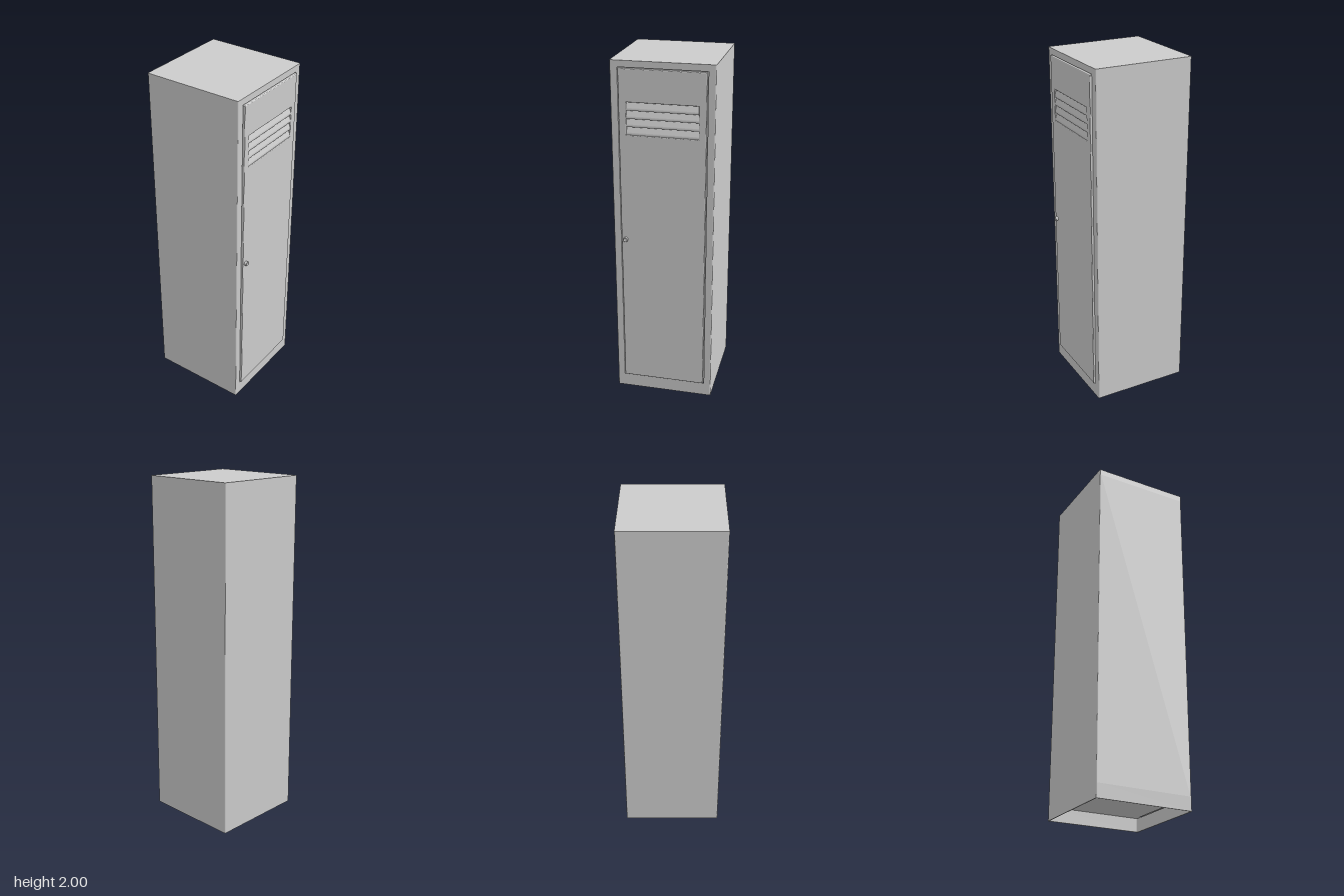
import * as THREE from 'three';

const HALF = 0.285, BACK = -0.3, FRONT = 0.273;
const DOOR_BOTTOM = 0.083, DOOR_TOP = 1.96, DOOR_HALF = 0.239;

// Plan outline with rounded corners (shape y is -z); notch cuts a pocket for the door
function plan(notch, inset = 0) {
  const r = 0.007, w = HALF - inset, f = -FRONT + inset, b = -BACK - inset;
  const s = new THREE.Shape();
  s.moveTo(-w + r, f);
  if (notch) {
    s.lineTo(-notch, f);
    s.lineTo(-notch, f + 0.012);
    s.lineTo(notch, f + 0.012);
    s.lineTo(notch, f);
  }
  s.lineTo(w - r, f);
  s.quadraticCurveTo(w, f, w, f + r);
  s.lineTo(w, b - r);
  s.quadraticCurveTo(w, b, w - r, b);
  s.lineTo(-w + r, b);
  s.quadraticCurveTo(-w, b, -w, b - r);
  s.lineTo(-w, f + r);
  s.quadraticCurveTo(-w, f, -w + r, f);
  return s;
}

function rectangle(target, x0, y0, x1, y1) {
  target.moveTo(x0, y0);
  target.lineTo(x1, y0);
  target.lineTo(x1, y1);
  target.lineTo(x0, y1);
  target.closePath();
  return target;
}

export function createModel() {
  const group = new THREE.Group();
  const material = new THREE.MeshStandardMaterial({ color: 0xcccccc });
  const add = (name, geometry, parent = group) => {
    const mesh = new THREE.Mesh(geometry, material);
    mesh.name = name;
    parent.add(mesh);
    return mesh;
  };
  const storey = (shape, y0, y1) =>
    new THREE.ExtrudeGeometry(shape, { depth: y1 - y0, bevelEnabled: false, curveSegments: 4 })
      .rotateX(-Math.PI / 2).translate(0, y0, 0);

  // Cabinet: hollow plinth, body with door pocket, solid top
  const skirt = plan(0);
  skirt.holes.push(plan(0, 0.005));
  add('plinth', storey(skirt, 0, DOOR_BOTTOM - 0.004));
  add('body', storey(plan(DOOR_HALF + 0.005), DOOR_BOTTOM - 0.004, DOOR_TOP + 0.004));
  add('top', storey(plan(0), DOOR_TOP + 0.004, 2));

  const door = new THREE.Group();
  door.name = 'door';
  group.add(door);

  // Door panel with a softened edge and a window for the vents
  const ventHalf = 0.197, ventBottom = 1.6, ventTop = 1.78, bevel = 0.004;
  const panel = rectangle(new THREE.Shape(), -DOOR_HALF, DOOR_BOTTOM, DOOR_HALF, DOOR_TOP);
  panel.holes.push(rectangle(new THREE.Path(), -ventHalf, ventBottom, ventHalf, ventTop));
  add('doorPanel', new THREE.ExtrudeGeometry(panel, {
    depth: 0.013, bevelThickness: bevel, bevelSize: bevel, bevelOffset: -bevel, bevelSegments: 3,
  }).translate(0, 0, 0.266), door);

  // Sloping vent slats, each leaning back to a step beneath the one above
  const count = 4, pitch = (ventTop - ventBottom) / count;
  const slat = new THREE.Shape();
  slat.moveTo(0.262, 0);
  slat.lineTo(0.281, 0);
  slat.quadraticCurveTo(0.283, 0.006, 0.281, 0.014);
  slat.lineTo(0.27, pitch);
  slat.lineTo(0.262, pitch);
  slat.closePath();
  const slatGeometry = new THREE.ExtrudeGeometry(slat, { depth: 2 * ventHalf + 0.006, bevelEnabled: false })
    .rotateY(-Math.PI / 2).translate(ventHalf + 0.003, 0, 0);
  for (let i = 0; i < count; i++) {
    add('ventSlat', slatGeometry, door).position.y = ventBottom + i * pitch;
  }

  // Round lock with a recessed face
  const lock = [[0.0135, 0], [0.0135, 0.018], [0.012, 0.02], [0.008, 0.02], [0.007, 0.017], [0, 0.017]]
    .map(([r, h]) => new THREE.Vector2(r, h));
  const lockMesh = add('lock', new THREE.LatheGeometry(lock, 24).rotateX(Math.PI / 2), door);
  lockMesh.position.set(-0.215, 0.985, 0.277);
  add('keySlot', new THREE.BoxGeometry(0.003, 0.011, 0.002), lockMesh).position.z = 0.0175;

  return group;
}
